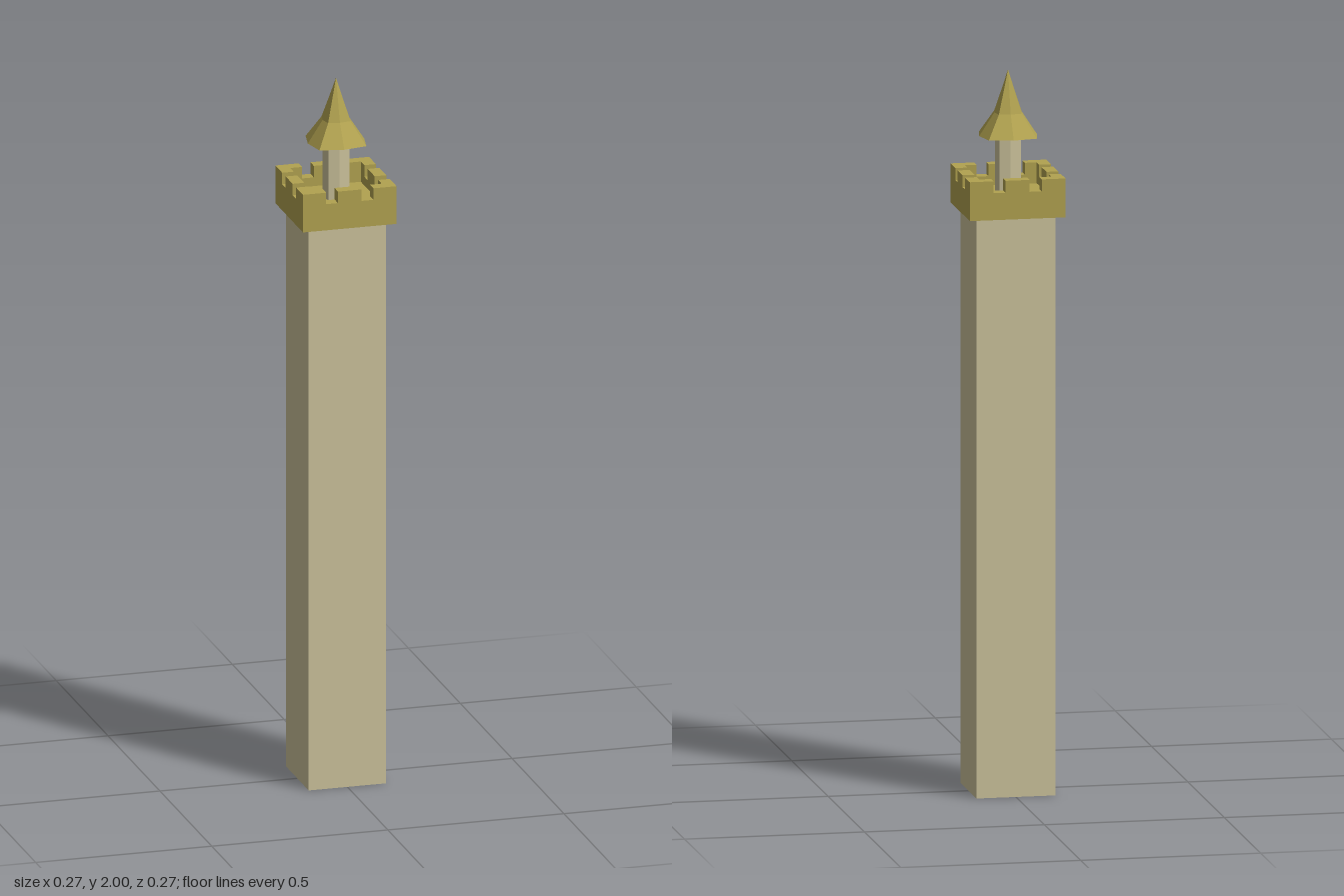
import * as THREE from 'three';

const OUT = 0.133, IN = 0.1;            // parapet outer and inner half widths
const Y0 = 1.61, FLOOR = 1.66, SILL = 1.685, TOP = 1.718;

const mat = (name, color) => {
  const m = new THREE.MeshStandardMaterial({ color, flatShading: true });
  m.name = name;
  return m;
};

function add(parent, name, geometry, material) {
  const mesh = new THREE.Mesh(geometry, material);
  mesh.name = name;
  parent.add(mesh);
  return mesh;
}

// Box given by its centre in plan, its size and its bottom and top heights
function block(w, d, y0, y1, x = 0, z = 0) {
  return new THREE.BoxGeometry(w, y1 - y0, d).translate(x, (y0 + y1) / 2, z);
}

// Plan outline raised between two heights
function raise(shape, y0, y1) {
  return new THREE.ExtrudeGeometry(shape, { depth: y1 - y0, bevelEnabled: false })
    .rotateX(-Math.PI / 2).translate(0, y0, 0);
}

const outline = pts => pts.map(([x, y]) => new THREE.Vector2(x, y));
const square = h => outline([[-h, -h], [h, -h], [h, h], [-h, h]]);

// Eight-sided lathe whose diagonal corners are pushed out toward a square
function squaredOctagon(profile) {
  const g = new THREE.LatheGeometry(outline(profile), 8);
  const p = g.attributes.position;
  for (let i = 0; i < p.count; i++) {
    const x = p.getX(i), z = p.getZ(i);
    const k = Math.abs(x * z) > 1e-6 ? 1.18 : 1;
    p.setXYZ(i, x * k, p.getY(i), z * k);
  }
  g.computeVertexNormals();
  return g;
}

export function createModel() {
  const stone = mat('pale stone', 0xcbc29b);
  const gold = mat('ochre', 0xb1a250);
  const tower = new THREE.Group();
  tower.name = 'tower';

  add(tower, 'shaft', block(0.22, 0.22, 0, Y0), stone);

  // Battlement: floor, low wall and merlons
  const battlement = new THREE.Group();
  battlement.name = 'battlement';
  tower.add(battlement);
  add(battlement, 'walkway', block(IN * 2, IN * 2, Y0, FLOOR), gold);
  const ring = new THREE.Shape(square(OUT));
  ring.holes.push(new THREE.Path(square(IN).reverse()));
  add(battlement, 'parapet', raise(ring, Y0, SILL), gold);

  const corner = new THREE.Shape(outline([
    [0.067, IN], [IN, IN], [IN, 0.067], [OUT, 0.067], [OUT, OUT], [0.067, OUT],
  ]));
  for (let i = 0; i < 4; i++) {
    const a = i * Math.PI / 2;
    add(battlement, 'cornerMerlon', raise(corner, SILL, TOP), gold).rotation.y = a;
    add(battlement, 'middleMerlon',
      block(0.067, OUT - IN, SILL, TOP, 0, (OUT + IN) / 2), gold).rotation.y = a;
  }

  // Turret with a flared spire
  add(tower, 'turret', squaredOctagon([[0.036, FLOOR], [0.036, 1.82]]), stone);
  add(tower, 'spire', squaredOctagon([
    [0, 1.818], [0.08, 1.818], [0.038, 1.882], [0.018, 1.943], [0, 2],
  ]), gold);

  return tower;
}
